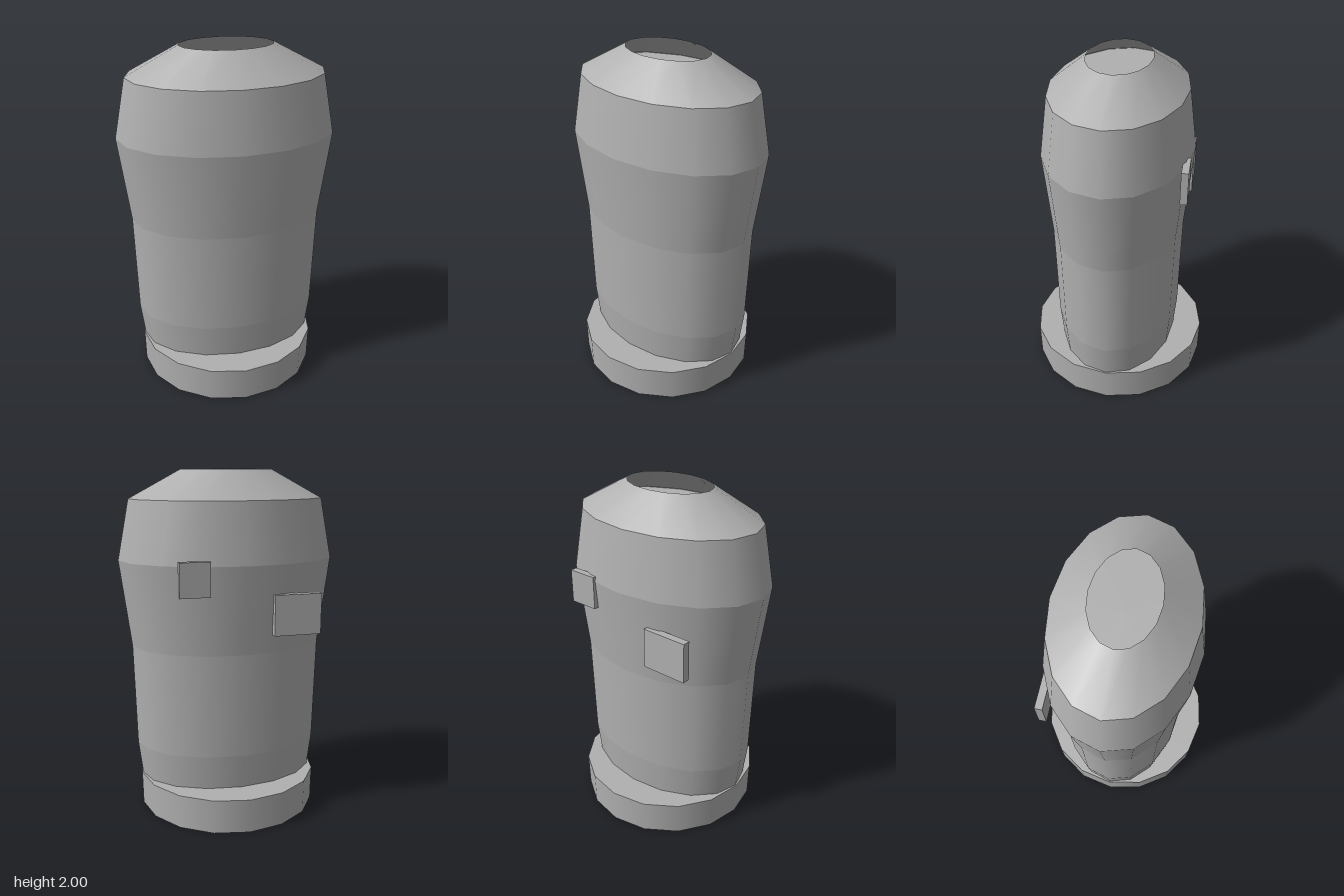
import * as THREE from 'three';

export function createModel() {
  const model = new THREE.Group();
  const grey = new THREE.MeshStandardMaterial({ color: 0xb0b0b0, side: THREE.DoubleSide });
  grey.name = 'plain grey';

  const SIDES = 16;
  const DEPTH = 0.68; // depth of the oval body relative to its width

  function add(name, geometry, x = 0, y = 0, z = 0) {
    const mesh = new THREE.Mesh(geometry, grey);
    mesh.name = name;
    mesh.position.set(x, y, z);
    model.add(mesh);
  }

  // Round foot
  add('base', new THREE.CylinderGeometry(0.532, 0.528, 0.2, SIDES), 0, 0.1, 0);

  // Oval body, one open band between each pair of [height, half width] rings
  const rings = [[0.2, 0.525], [0.4, 0.55], [1, 0.566], [1.5, 0.632], [1.84, 0.566], [2, 0.267]];
  const names = ['lowerFlare', 'lowerBody', 'upperBody', 'shoulder', 'topCone'];
  names.forEach((name, i) => {
    const [y0, r0] = rings[i];
    const [y1, r1] = rings[i + 1];
    const band = new THREE.CylinderGeometry(r1, r0, y1 - y0, SIDES, 1, true);
    band.scale(1, 1, DEPTH);
    add(name, band, 0, (y0 + y1) / 2, 0);
  });

  // Floor inside the open cone
  const floor = new THREE.CircleGeometry(0.566, SIDES);
  floor.rotateX(-Math.PI / 2);
  floor.scale(1, 1, DEPTH);
  add('innerFloor', floor, 0, 1.838, 0);

  // Two small plates on the back
  add('largeBackPlate', new THREE.BoxGeometry(0.27, 0.23, 0.045), -0.3, 1.22, -0.393);
  add('smallBackPlate', new THREE.BoxGeometry(0.17, 0.19, 0.04), 0.28, 1.435, -0.398);

  return model;
}
